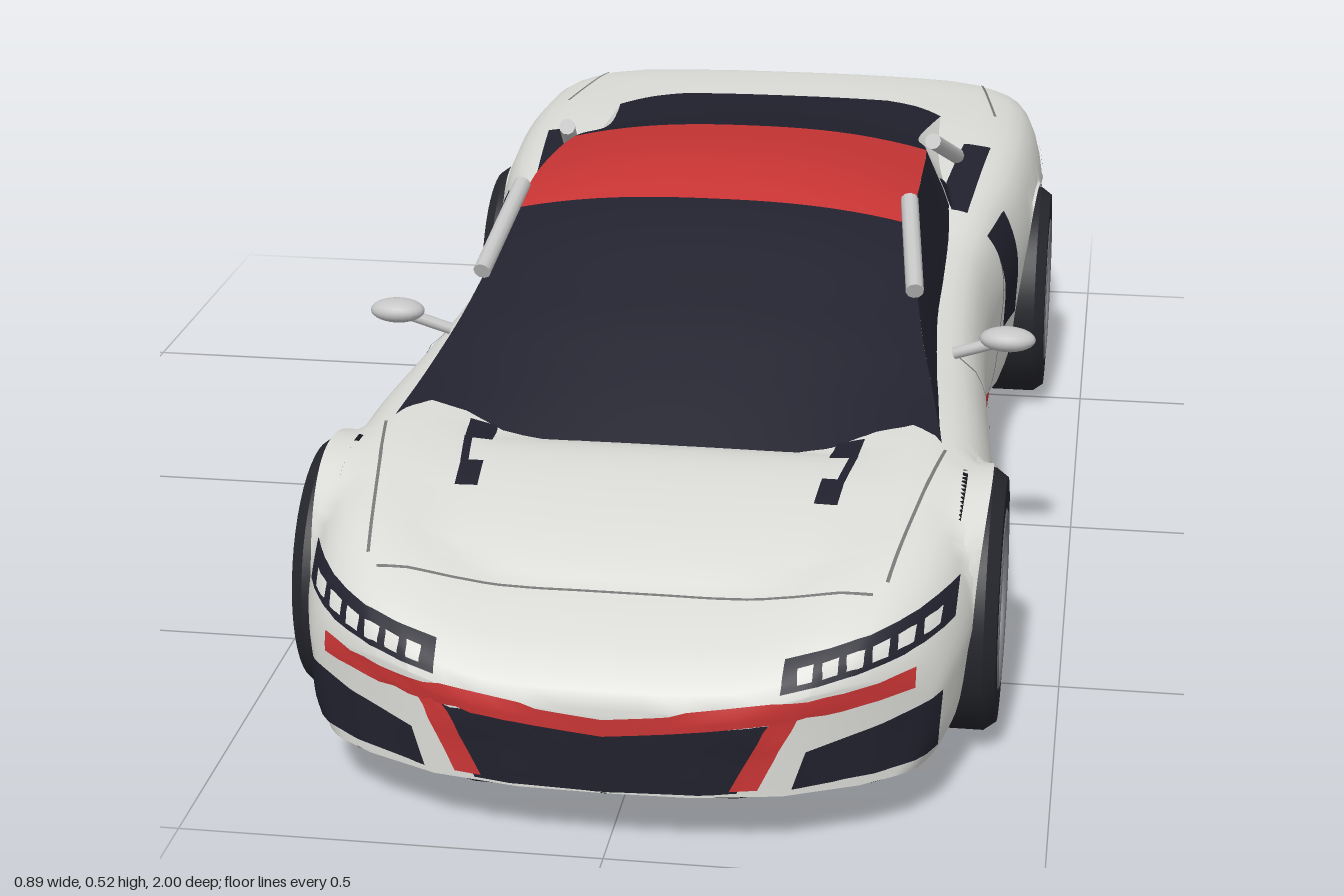
import * as THREE from 'three';
import { toCreasedNormals } from 'three/addons/utils/BufferGeometryUtils.js';

const V = (x, y, z) => new THREE.Vector3(x, y, z);
const paint = (name, color) => {
  const m = new THREE.MeshStandardMaterial({ color, side: THREE.DoubleSide });
  m.name = name;
  return m;
};

// Body stations: z, half width, centre height, shoulder height, bottom
const BODY = [
  [0.99, 0.36, 0.185, 0.21, 0.08], [0.975, 0.375, 0.205, 0.238, 0.075], [0.93, 0.392, 0.235, 0.27, 0.07],
  [0.85, 0.402, 0.262, 0.3, 0.067], [0.72, 0.408, 0.285, 0.322, 0.066], [0.59, 0.41, 0.303, 0.338, 0.066],
  [0.45, 0.405, 0.318, 0.345, 0.07], [0.25, 0.387, 0.335, 0.346, 0.078], [0.05, 0.372, 0.34, 0.35, 0.078],
  [-0.15, 0.37, 0.35, 0.365, 0.078], [-0.3, 0.387, 0.365, 0.388, 0.075], [-0.45, 0.411, 0.385, 0.405, 0.066],
  [-0.6, 0.42, 0.4, 0.412, 0.066], [-0.75, 0.418, 0.405, 0.41, 0.068], [-0.88, 0.41, 0.404, 0.403, 0.078],
  [-0.94, 0.402, 0.394, 0.388, 0.085], [-0.97, 0.386, 0.362, 0.35, 0.09],
];
// Cabin stations: z, centre height, edge height, edge half width, base half width, base height
const CABIN = [
  [0.53, 0.31, 0.338, 0.345, 0.36, 0.28], [0.42, 0.365, 0.363, 0.325, 0.352, 0.29], [0.3, 0.422, 0.405, 0.3, 0.335, 0.3],
  [0.1, 0.503, 0.478, 0.272, 0.315, 0.32], [-0.05, 0.522, 0.488, 0.27, 0.312, 0.33], [-0.28, 0.495, 0.468, 0.262, 0.31, 0.35],
  [-0.42, 0.464, 0.442, 0.24, 0.3, 0.36], [-0.58, 0.434, 0.42, 0.25, 0.295, 0.375], [-0.75, 0.408, 0.4, 0.272, 0.29, 0.38],
];
const WHEELS = [{ z: 0.59, out: 0.428 }, { z: -0.557, out: 0.44 }];

// Smooth interpolation of a station table
function at(table, z) {
  let i = 0;
  while (i < table.length - 2 && z < table[i + 1][0]) i++;
  const a = table[i], b = table[i + 1], h = b[0] - a[0];
  const t = THREE.MathUtils.clamp((z - a[0]) / h, 0, 1);
  const slope = (n, k) => {
    const p = table[Math.max(0, n - 1)], q = table[Math.min(table.length - 1, n + 1)];
    return (q[k] - p[k]) / (q[0] - p[0]);
  };
  return a.slice(1).map((v, n) => {
    const k = n + 1, t2 = t * t, t3 = t2 * t;
    return v * (2 * t3 - 3 * t2 + 1) + b[k] * (3 * t2 - 2 * t3)
      + h * (slope(i, k) * (t3 - 2 * t2 + t) + slope(i + 1, k) * (t3 - t2));
  });
}

function loft(rings) {
  const n = rings[0].length, index = [];
  for (let i = 0; i < rings.length - 1; i++) for (let j = 0; j < n - 1; j++) {
    const a = i * n + j, b = a + 1, c = a + n, d = c + 1;
    index.push(a, b, c, b, d, c);
  }
  const g = new THREE.BufferGeometry().setFromPoints(rings.flat());
  g.setIndex(index);
  g.computeVertexNormals();
  return g;
}
const steps = (a, b, n) => Array.from({ length: n + 1 }, (_, i) => a + (b - a) * i / n);

// Nose and tail curve back towards the corners
const bend = (x, z) => z
  - 2.5 * Math.abs(x) ** 3 * THREE.MathUtils.smoothstep(z, 0.55, 0.99)
  + 1.3 * Math.abs(x) ** 3 * THREE.MathUtils.smoothstep(-z, 0.7, 0.97);

function archHeight(z) {
  let y = 0;
  for (const w of WHEELS) {
    const d = Math.abs(z - w.z);
    if (d < 0.168) y = Math.max(y, 0.16 + Math.sqrt(0.168 ** 2 - d * d));
  }
  return y;
}

function bodyRing(z, k = 1) {
  const [w, c, s, b] = at(BODY, z), h = s - b, arch = archHeight(bend(w, z));
  const half = new THREE.CatmullRomCurve3([
    V(0, c, 0), V(0.4 * w, c + 0.1 * (s - c), 0), V(0.78 * w, s, 0), V(0.93 * w, s - 0.07 * h, 0),
    V(w, s - 0.3 * h, 0), V(0.995 * w, b + 0.45 * h, 0), V(0.97 * w, b + 0.15 * h, 0), V(0.93 * w, b, 0),
  ]).getPoints(22).map(p => [p.x * k, b + (Math.max(p.y, arch) - b) * k]);
  const left = half.slice(1).reverse().map(([x, y]) => [-x, y]);
  return [...left, ...half].map(([x, y]) => V(x, y, bend(x, z)));
}

function floorRing(z) {
  const [w, , , b] = at(BODY, z), e = Math.max(b, archHeight(bend(w, z)));
  const pts = [[0.93 * w, e], [0.3, e], [0.3, b], [0.15, b], [0, b]];
  return [...pts, ...pts.slice(0, 4).reverse().map(([x, y]) => [-x, y])].map(([x, y]) => V(x, y, bend(x, z)));
}

const cabinTop = z => {
  const [r, e, t] = at(CABIN, z);
  return steps(-1, 1, 20).map(u => V(u * t, r - (r - e) * Math.abs(u) ** 2.5, z));
};
const cabinSide = s => z => {
  const [, e, t, q, d] = at(CABIN, z);
  const pts = [V(s * t, e, z), V(s * (t * 0.45 + q * 0.55), (e + d) / 2, z), V(s * q, d, z)];
  return s > 0 ? pts : pts.reverse();
};

export function createModel() {
  const car = new THREE.Group();
  const white = paint('body white', 0xdadad6), glass = paint('dark glass', 0x20212d), red = paint('red trim', 0xc83434);
  const black = paint('underbody black', 0x14141a), rubber = paint('tyre rubber', 0x25262c);
  const metal = paint('wheel metal', 0x74767a), seam = paint('seam grey', 0x777777), silver = paint('pillar silver', 0xc4c5c4);
  const add = (name, geo, mat, parent = car) => {
    const m = new THREE.Mesh(geo, mat);
    m.name = name;
    parent.add(m);
    return m;
  };
  const beam = (name, a, b, r, mat, parent = car) => {
    const m = add(name, new THREE.CylinderGeometry(r, r, a.distanceTo(b), 10), mat, parent);
    m.position.copy(a).lerp(b, 0.5);
    m.quaternion.setFromUnitVectors(V(0, 1, 0), b.clone().sub(a).normalize());
    return m;
  };

  // Body shell with rounded nose and tail, and the floor with wheel wells
  const zs = steps(0.99, -0.97, 160), ks = [0.01, 0.3, 0.6, 0.85, 0.96];
  const shell = [...ks.map(k => bodyRing(0.99, k)), ...zs.map(z => bodyRing(z)), ...ks.slice().reverse().map(k => bodyRing(-0.97, k))];
  const targets = [add('bodyShell', toCreasedNormals(loft(shell), 0.7), white)];
  add('floor', toCreasedNormals(loft(zs.map(floorRing)), 0.5), black);

  // Cabin
  const cabin = (name, ring, z0, z1, mat) => targets.push(add(name, loft(steps(z0, z1, 24).map(ring)), mat));
  cabin('windshield', cabinTop, 0.53, 0.1, glass);
  cabin('roof', cabinTop, 0.1, -0.28, red);
  cabin('rearWindow', cabinTop, -0.28, -0.75, glass);
  for (const s of [1, -1]) {
    cabin('sideWindow', cabinSide(s), 0.53, -0.28, glass);
    cabin('rearButtress', cabinSide(s), -0.28, -0.75, white);
  }

  // Thin plates laid onto the surface; corners run around a quad
  const ray = new THREE.Raycaster();
  const project = {
    front: (a, b, s) => [V(s * a, b, 3), V(0, 0, -1)], back: (a, b, s) => [V(s * a, b, -3), V(0, 0, 1)],
    top: (a, b, s) => [V(s * a, 3, b), V(0, -1, 0)], side: (a, b, s) => [V(s * 3, b, a), V(-s, 0, 0)],
  };
  function plate(name, mat, from, [p, q, r, t], lift = 0.004, nu = 14, nv = 6) {
    for (const s of [1, -1]) {
      let last = null;
      const rings = steps(0, 1, nv).map(v => steps(0, 1, nu).map(u => {
        const mix = k => (p[k] * (1 - u) + q[k] * u) * (1 - v) + (t[k] * (1 - u) + r[k] * u) * v;
        const [o, d] = project[from](mix(0), mix(1), s);
        ray.set(o, d);
        const hit = ray.intersectObjects(targets, false)[0];
        if (hit) {
          const n = hit.face.normal.clone();
          last = hit.point.clone().addScaledVector(n, n.dot(d) > 0 ? -lift : lift);
        }
        return last ? last.clone() : null;
      }));
      const first = rings.flat().find(x => x);
      if (first) add(name, loft(rings.map(row => row.map(x => x || first))), mat);
    }
  }
  car.updateMatrixWorld(true);

  // Front face
  plate('grille', glass, 'front', [[0, 0.158], [0.19, 0.172], [0.15, 0.086], [0, 0.084]]);
  plate('cornerIntake', glass, 'front', [[0.225, 0.135], [0.37, 0.17], [0.365, 0.096], [0.21, 0.09]]);
  plate('noseStripe', red, 'front', [[0, 0.176], [0.34, 0.212], [0.34, 0.19], [0, 0.155]], 0.006, 18, 3);
  plate('noseStrut', red, 'front', [[0.185, 0.175], [0.215, 0.178], [0.167, 0.078], [0.135, 0.078]], 0.006, 4, 8);
  plate('headlight', glass, 'front', [[0.2, 0.233], [0.38, 0.27], [0.378, 0.238], [0.197, 0.204]], 0.005, 18, 6);
  for (let i = 0; i < 6; i++) {
    const x = 0.215 + i * 0.026, y = 0.216 + i * 0.0052;
    plate('headlightCell', white, 'front', [[x, y + 0.01], [x + 0.018, y + 0.014], [x + 0.016, y], [x, y - 0.003]], 0.008, 3, 3);
  }

  // Hood vents, side and shoulder intakes
  plate('hoodVent', glass, 'top', [[0.215, 0.52], [0.25, 0.52], [0.245, 0.575], [0.21, 0.575]], 0.004, 4, 5);
  plate('hoodVent', glass, 'top', [[0.208, 0.635], [0.236, 0.635], [0.232, 0.69], [0.204, 0.69]], 0.004, 4, 5);
  plate('hoodVent', glass, 'top', [[0.236, 0.57], [0.246, 0.57], [0.236, 0.64], [0.226, 0.64]], 0.004, 3, 5);
  plate('sideIntake', glass, 'side', [[-0.235, 0.352], [-0.335, 0.36], [-0.36, 0.195], [-0.27, 0.2]], 0.004, 10, 10);
  plate('shoulderIntake', glass, 'top', [[0.28, -0.26], [0.325, -0.26], [0.345, -0.5], [0.305, -0.5]], 0.004, 6, 14);

  // Panel seams
  for (const z of [0.23, -0.245]) plate('doorSeam', seam, 'side', [[z, 0.335], [z - 0.005, 0.335], [z - 0.005, 0.09], [z, 0.09]], 0.003, 1, 14);
  plate('hoodSeam', seam, 'top', [[0, 0.852], [0.29, 0.852], [0.29, 0.848], [0, 0.848]], 0.003, 16, 1);
  plate('hoodSeam', seam, 'top', [[0.302, 0.83], [0.306, 0.83], [0.352, 0.55], [0.348, 0.55]], 0.003, 1, 16);
  plate('deckSeam', seam, 'top', [[0.31, -0.86], [0.314, -0.86], [0.346, -0.66], [0.342, -0.66]], 0.003, 1, 14);
  plate('rearPanelSeam', seam, 'side', [[-0.775, 0.345], [-0.779, 0.345], [-0.779, 0.22], [-0.775, 0.22]], 0.003, 1, 8);

  // Tail
  plate('tailLight', red, 'back', [[0, 0.325], [0.365, 0.338], [0.365, 0.322], [0, 0.311]], 0.005, 20, 3);
  plate('diffuser', glass, 'back', [[0, 0.15], [0.3, 0.16], [0.28, 0.095], [0, 0.093]], 0.005, 14, 4);
  for (const x of [-0.18, -0.08, 0.08, 0.18]) {
    add('diffuserFin', new THREE.BoxGeometry(0.007, 0.055, 0.09), glass).position.set(x, 0.12, -0.955);
  }

  for (const s of [1, -1]) {
    // Sills, roof bars and mirrors
    add('sill', new THREE.BoxGeometry(0.07, 0.026, 0.84), red).position.set(s * 0.327, 0.07, 0.025);
    beam('frontRoofBar', V(s * 0.266, 0.51, 0.09), V(s * 0.288, 0.44, 0.26), 0.012, silver);
    beam('rearRoofBar', V(s * 0.272, 0.485, -0.27), V(s * 0.298, 0.415, -0.43), 0.012, silver);
    beam('mirrorStalk', V(s * 0.34, 0.345, 0.23), V(s * 0.4, 0.368, 0.24), 0.008, silver);
    const mirror = add('mirror', new THREE.SphereGeometry(1, 20, 12), silver);
    mirror.scale.set(0.037, 0.016, 0.024);
    mirror.position.set(s * 0.41, 0.372, 0.24);

    // Wheels, built with the outer face towards +x
    for (const w of WHEELS) {
      const wheel = new THREE.Group();
      wheel.name = 'wheel';
      wheel.position.set(s * (w.out - 0.06), 0.162, w.z);
      wheel.rotation.y = s > 0 ? 0 : Math.PI;
      car.add(wheel);
      const profile = [[0.001, -0.055], [0.1, -0.06], [0.148, -0.06], [0.161, -0.045], [0.161, 0.045], [0.15, 0.06], [0.112, 0.06], [0.106, 0.03], [0.001, 0.03]];
      const tyre = new THREE.LatheGeometry(profile.map(([r, y]) => new THREE.Vector2(r, y)), 48).rotateZ(-Math.PI / 2);
      add('tyre', toCreasedNormals(tyre, 0.6), rubber, wheel);
      add('rim', new THREE.TorusGeometry(0.107, 0.006, 8, 40).rotateY(Math.PI / 2).translate(0.056, 0, 0), metal, wheel);
      add('hub', new THREE.CylinderGeometry(0.022, 0.026, 0.024, 20).rotateZ(-Math.PI / 2).translate(0.046, 0, 0), metal, wheel);
      for (let i = 0; i < 10; i++) for (const f of [-0.13, 0.13]) {
        const a = i * Math.PI / 5, b = a + f;
        beam('spoke', V(0.046, 0.018 * Math.cos(a), 0.018 * Math.sin(a)), V(0.052, 0.106 * Math.cos(b), 0.106 * Math.sin(b)), 0.004, metal, wheel);
      }
    }
  }
  return car;
}
